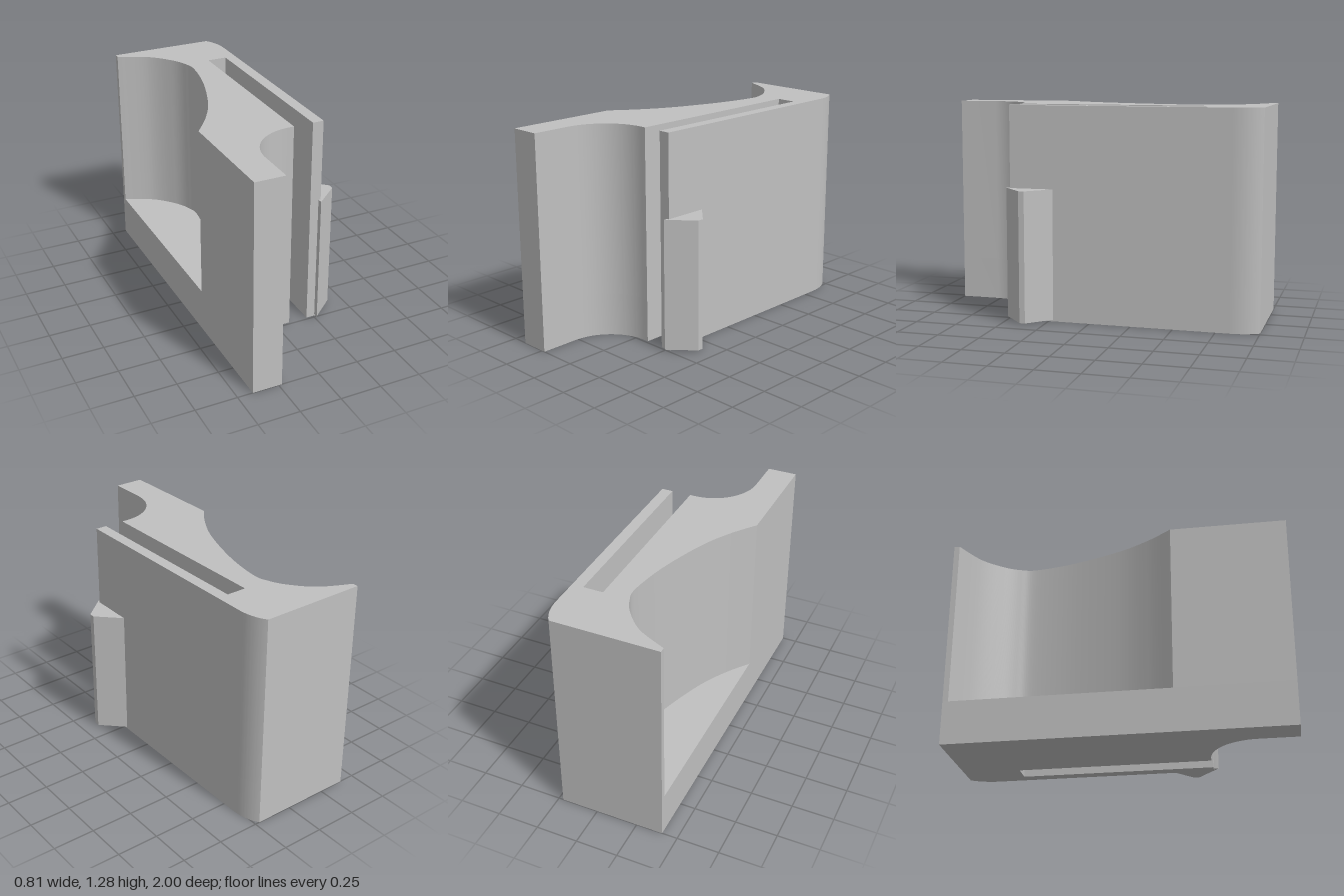
import * as THREE from 'three';
import { toCreasedNormals } from 'three/addons/utils/BufferGeometryUtils.js';

const HEIGHT = 1.28;
const FLOOR = 0.26;

// Plan coordinates are (x, z); shapes are drawn with y = -z and stood upright.
function upright(name, shape, y0, y1, material) {
  const extruded = new THREE.ExtrudeGeometry(shape, {
    depth: y1 - y0, bevelEnabled: false, curveSegments: 24,
  });
  extruded.rotateX(-Math.PI / 2);
  extruded.translate(0, y0, 0);
  const mesh = new THREE.Mesh(toCreasedNormals(extruded, 0.5), material);
  mesh.name = name;
  return mesh;
}

// Clip outline: spine, concave front, slot, spring arm and rounded back corner
function clipOutline(withScoop) {
  const s = new THREE.Shape();
  const to = (x, z) => s.lineTo(x, -z);
  s.moveTo(-0.408, -1);
  to(-0.23, 1);
  to(-0.23, 0.77);
  s.absarc(0.055, -0.77, 0.285, Math.PI, Math.PI / 2, true);
  to(0.087, 0.485);
  to(0.087, -0.66);
  to(0.205, -0.66);
  to(0.205, 0.485);
  to(0.272, 0.485);
  to(0.272, -0.83);
  s.quadraticCurveTo(0.272, 0.93, 0.222, 1);
  to(-0.408, -1);
  if (withScoop) {
    // Curved hollow in the side
    to(-0.408, -0.967);
    s.splineThru([
      [-0.235, -0.88], [-0.125, -0.765], [-0.072, -0.665], [-0.055, -0.56],
      [-0.1, -0.315], [-0.2, -0.02], [-0.3, 0.17], [-0.408, 0.32],
    ].map(([x, z]) => new THREE.Vector2(x, -z)));
  }
  s.closePath();
  return s;
}

export function createModel() {
  const model = new THREE.Group();
  model.name = 'clip';
  const grey = new THREE.MeshStandardMaterial({ color: 0xc0c0c0 });
  grey.name = 'grey';

  // Solid base below the hollow, then the hollowed body
  model.add(upright('base', clipOutline(false), 0, FLOOR, grey));
  model.add(upright('hollowBody', clipOutline(true), FLOOR, HEIGHT, grey));

  // Wedge-shaped catch on the spring arm
  const wedge = new THREE.Shape([
    [0.258, 0.485], [0.26, 0.513], [0.405, 0.386], [0.405, 0.352], [0.265, 0.215],
  ].map(([x, z]) => new THREE.Vector2(x, -z)));
  model.add(upright('catch', wedge, 0.01, 0.79, grey));

  return model;
}
